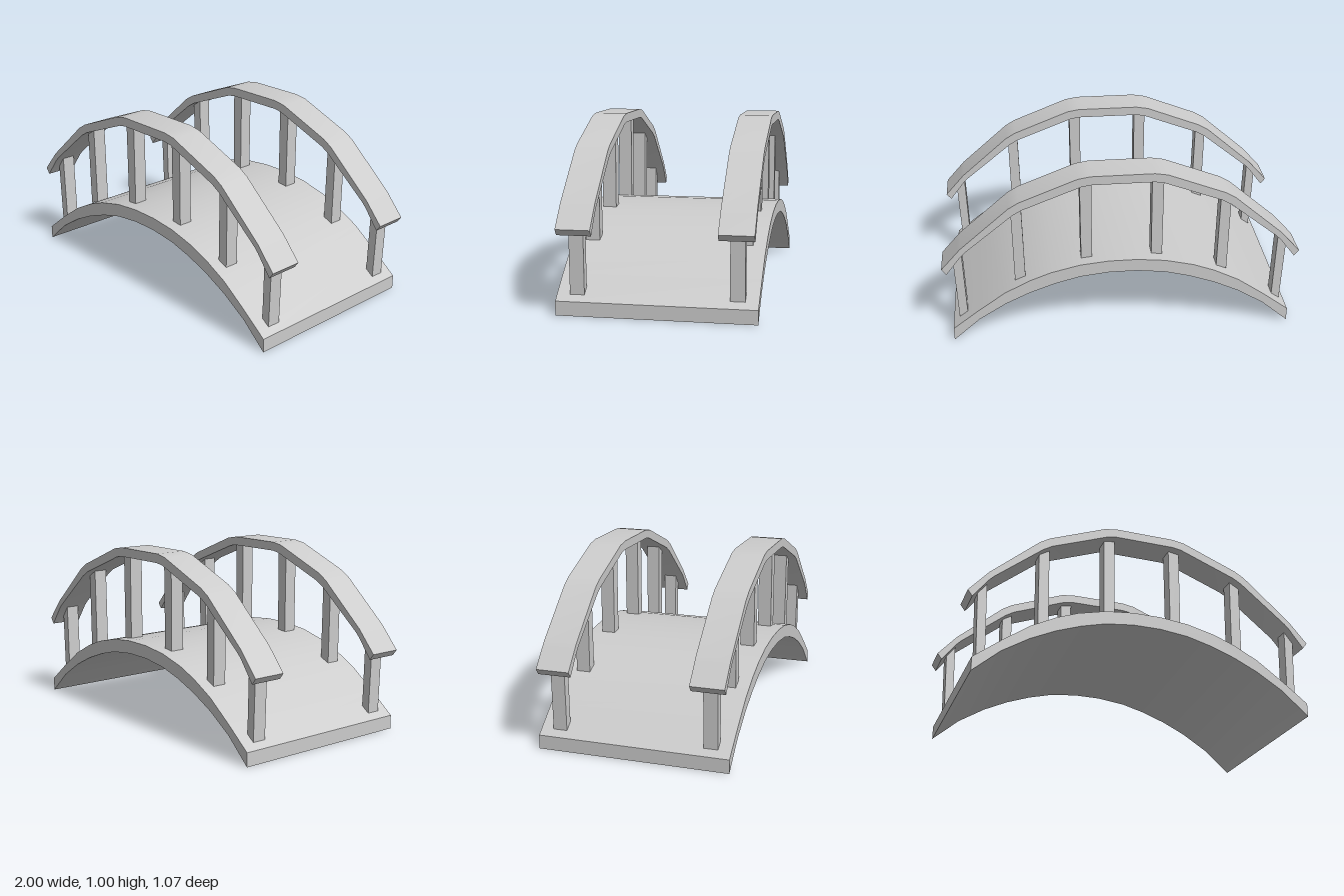
import * as THREE from 'three';
import { toCreasedNormals } from 'three/addons/utils/BufferGeometryUtils.js';

const material = new THREE.MeshStandardMaterial({ color: 0xcccccc });

// Extrude a closed front profile from z0 to z1.
function slab(name, points, z0, z1) {
  const shape = new THREE.Shape(points.map(([x, y]) => new THREE.Vector2(x, y)));
  const extruded = new THREE.ExtrudeGeometry(shape, { depth: z1 - z0, bevelEnabled: false });
  const mesh = new THREE.Mesh(toCreasedNormals(extruded, 0.6), material);
  mesh.position.z = z0;
  mesh.name = name;
  return mesh;
}

const mirror = (points) => points.map(([x, y]) => [-x, y]).reverse();

// Close an arched band from the right halves (centre outwards) of its top and bottom lines.
function band(top, bottom) {
  const half = [...top, ...[...bottom].reverse()];
  return [...half, ...mirror(half)];
}

export function createModel() {
  const model = new THREE.Group();
  model.name = 'archedFootbridge';

  // Curved walkway
  model.add(slab('deck', band(
    [[0.08, 0.474], [0.24, 0.457], [0.4, 0.418], [0.52, 0.372], [0.66, 0.3], [0.81, 0.193], [0.96, 0.077]],
    [[0.08, 0.4], [0.24, 0.381], [0.38, 0.344], [0.52, 0.293], [0.66, 0.226], [0.81, 0.132], [0.96, 0]],
  ), -0.533, 0.533));

  // Handrail profile, with softened corners
  const rail = band(
    [[0.172, 1], [0.243, 0.988], [0.562, 0.862], [0.618, 0.828], [0.89, 0.59], [0.912, 0.565], [1, 0.465]],
    [[0.172, 0.949], [0.222, 0.941], [0.548, 0.815], [0.598, 0.785], [0.864, 0.568], [0.89, 0.541], [0.974, 0.431]],
  );

  // Post profiles: inner bottom, outer bottom, outer top, inner top
  const posts = [
    [[0.167, 0.46], [0.228, 0.45], [0.23, 0.945], [0.165, 0.955]],
    [[0.542, 0.36], [0.601, 0.335], [0.607, 0.8], [0.549, 0.825]],
    [[0.878, 0.142], [0.925, 0.108], [0.938, 0.51], [0.888, 0.555]],
  ];

  for (const side of [1, -1]) {
    const railing = new THREE.Group();
    railing.name = side > 0 ? 'frontRailing' : 'backRailing';
    const across = (a, b) => (side > 0 ? [a, b] : [-b, -a]);
    railing.add(slab('handrail', rail, ...across(0.33, 0.516)));
    for (const post of posts) {
      railing.add(slab('leftPost', post, ...across(0.384, 0.462)));
      railing.add(slab('rightPost', mirror(post), ...across(0.384, 0.462)));
    }
    model.add(railing);
  }
  return model;
}
